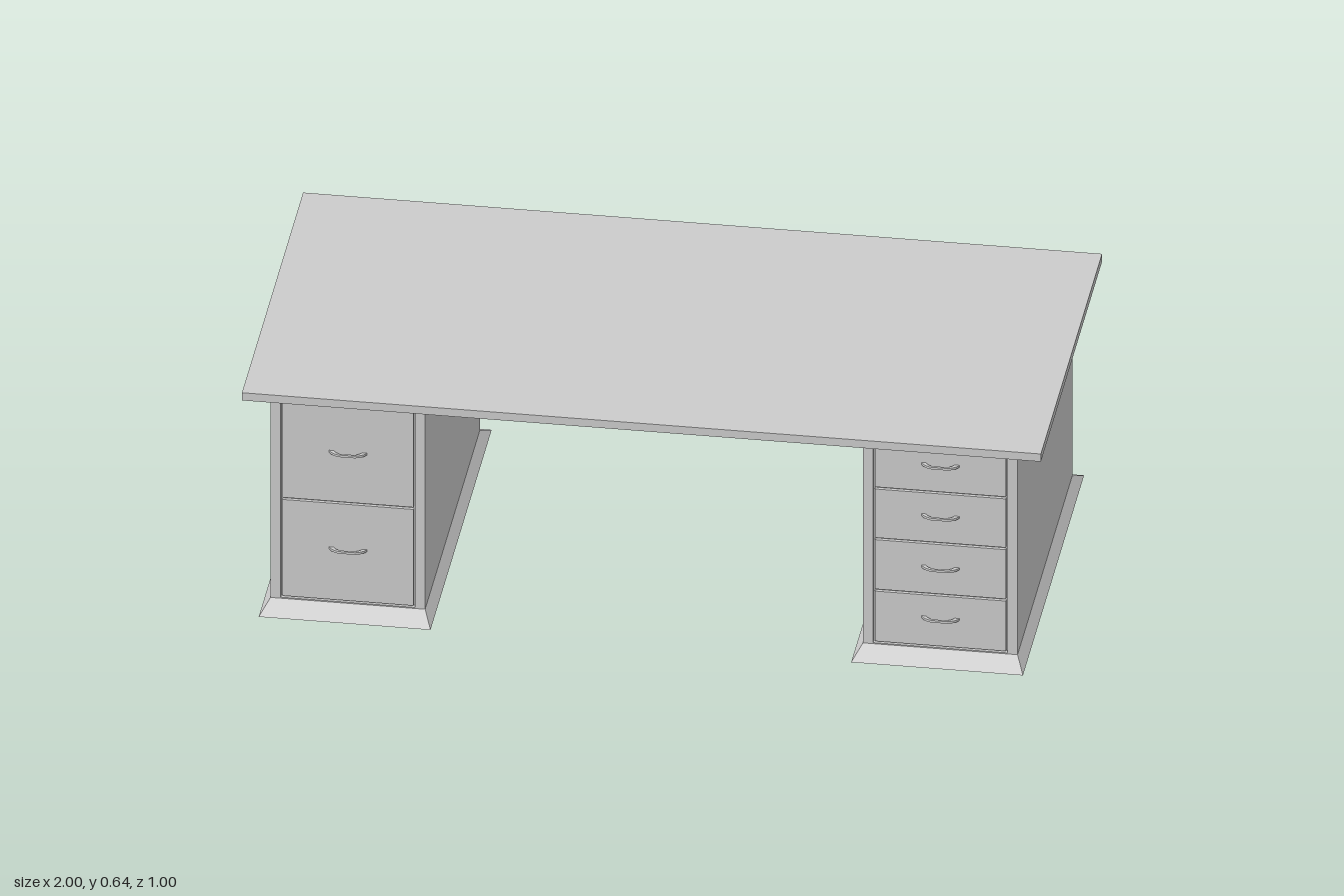
import * as THREE from 'three';

const material = new THREE.MeshStandardMaterial({ color: 0xcccccc });
const FRONT = 0.447, BASE = 0.027, UNDER = 0.615, RECESS = 0.012;

function add(parent, name, geometry, x = 0, y = 0, z = 0) {
  const mesh = new THREE.Mesh(geometry, material);
  mesh.name = name;
  mesh.position.set(x, y, z);
  parent.add(mesh);
  return mesh;
}

function rect(PathType, x0, y0, x1, y1) {
  return new PathType([[x0, y0], [x1, y0], [x1, y1], [x0, y1]].map(p => new THREE.Vector2(...p)));
}

// Flared plinth: a box whose top corners are drawn in to the cabinet
function plinthGeometry() {
  const geo = new THREE.BoxGeometry(0.43, BASE, 1);
  const p = geo.attributes.position;
  for (let i = 0; i < p.count; i++) {
    if (p.getY(i) > 0) p.setXYZ(i, p.getX(i) * 0.387 / 0.43, p.getY(i), p.getZ(i) * FRONT / 0.5);
  }
  geo.computeVertexNormals();
  return geo;
}

// Bowed flat pull: an arched strip in plan, given a small height
function handleGeometry() {
  const s = new THREE.Shape();
  s.moveTo(-0.05, 0);
  s.quadraticCurveTo(-0.045, 0.021, -0.02, 0.027);
  s.lineTo(0.02, 0.027);
  s.quadraticCurveTo(0.045, 0.021, 0.05, 0);
  s.lineTo(0.038, 0);
  s.quadraticCurveTo(0.034, 0.016, 0.018, 0.021);
  s.lineTo(-0.018, 0.021);
  s.quadraticCurveTo(-0.034, 0.016, -0.038, 0);
  s.closePath();
  const geo = new THREE.ExtrudeGeometry(s, { depth: 0.006, bevelEnabled: false, curveSegments: 6 });
  return geo.rotateX(Math.PI / 2).translate(0, 0.003, 0);
}

// One pedestal; edges lists the heights of the drawer joints, bottom to top
function pedestal(name, x, edges, handleHeights) {
  const g = new THREE.Group();
  g.name = name;
  g.position.x = x;
  const w = 0.387, half = 0.168, top = edges[edges.length - 1];

  add(g, 'plinth', plinthGeometry(), 0, BASE / 2);
  const depth = 2 * FRONT - RECESS;
  add(g, 'cabinet', new THREE.BoxGeometry(w, UNDER - BASE, depth), 0, (UNDER + BASE) / 2, -RECESS / 2);

  // Frame around the drawer opening
  const frame = rect(THREE.Shape, -w / 2, BASE, w / 2, UNDER);
  frame.holes.push(rect(THREE.Path, -half, edges[0], half, top));
  add(g, 'frontFrame', new THREE.ExtrudeGeometry(frame, { depth: RECESS, bevelEnabled: false }), 0, 0, FRONT - RECESS);

  // Drawers with narrow gaps, each with a pull
  const drawerDepth = RECESS - 0.003, face = FRONT - 0.003;
  const pull = handleGeometry();
  handleHeights.forEach((hy, i) => {
    const y0 = edges[i] + 0.003, y1 = edges[i + 1] - 0.003;
    add(g, 'drawerFront', new THREE.BoxGeometry(2 * half - 0.008, y1 - y0, drawerDepth),
      0, (y0 + y1) / 2, face - drawerDepth / 2);
    add(g, 'drawerHandle', pull, 0, hy, face - 0.007);
  });
  return g;
}

export function createModel() {
  const desk = new THREE.Group();
  desk.name = 'desk';
  add(desk, 'tabletop', new THREE.BoxGeometry(2, 0.022, 1), 0, UNDER + 0.011);
  desk.add(pedestal('fileDrawerPedestal', -0.743, [0.03, 0.311, 0.591], [0.18, 0.456]));
  desk.add(pedestal('fourDrawerPedestal', 0.74, [0.03, 0.179, 0.326, 0.471, 0.611], [0.113, 0.258, 0.405, 0.551]));
  return desk;
}
